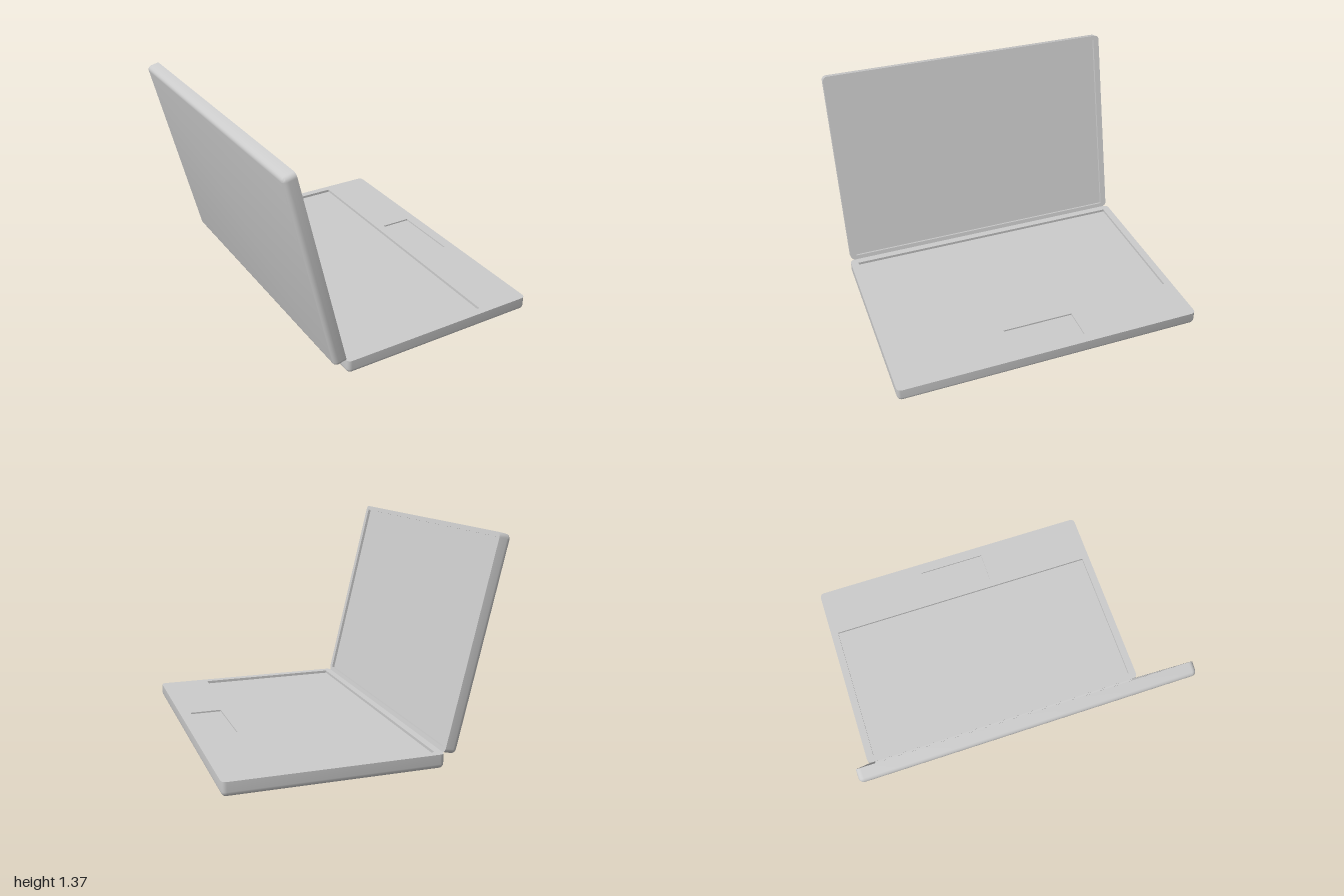
import * as THREE from 'three';
import { toCreasedNormals } from 'three/addons/utils/BufferGeometryUtils.js';

const material = new THREE.MeshStandardMaterial({ color: 0xcccccc });

// Rounded rectangle outline as [x, z] points
function outline(w, d, r, cx = 0, segs = 5) {
  const pts = [];
  [[1, 1], [-1, 1], [-1, -1], [1, -1]].forEach(([sx, sz], q) => {
    const n = r ? segs : 0;
    for (let i = 0; i <= n; i++) {
      const a = (q + (n ? i / n : 0)) * Math.PI / 2;
      pts.push([cx + sx * (w / 2 - r) + r * Math.cos(a), sz * (d / 2 - r) + r * Math.sin(a)]);
    }
  });
  return pts;
}

// Joins outlines from top to bottom and closes the last one; inward makes a sunken pan
function loft(levels, cx, inward = false) {
  const n = levels[0].ring.length, pos = [], idx = [];
  levels.forEach(({ ring, y }) => ring.forEach(([x, z]) => pos.push(x, y, z)));
  pos.push(cx, levels.at(-1).y, 0);
  const tri = (a, b, c) => (inward ? idx.push(a, c, b) : idx.push(a, b, c));
  for (let j = 0; j < n; j++) {
    const k = (j + 1) % n;
    for (let i = 0; i < levels.length - 1; i++) {
      const a = i * n, b = a + n;
      tri(a + j, a + k, b + j);
      tri(a + k, b + k, b + j);
    }
    const l = (levels.length - 1) * n;
    tri(l + j, l + k, levels.length * n);
  }
  const g = new THREE.BufferGeometry();
  g.setAttribute('position', new THREE.Float32BufferAttribute(pos, 3));
  g.setIndex(idx);
  return toCreasedNormals(g, 0.6);
}

// Slab with its face at y = 0, soft lower edges and shallow recesses in the face
function slab(name, w, d, h, r, recesses) {
  const group = new THREE.Group();
  group.name = name;
  const add = (part, geometry) => {
    const mesh = new THREE.Mesh(geometry, material);
    mesh.name = part;
    group.add(mesh);
  };

  // Outer shell
  const levels = [{ ring: outline(w, d, r), y: 0 }];
  for (let i = 0; i <= 5; i++) {
    const a = i / 5 * Math.PI / 2, inset = r * (1 - Math.cos(a));
    levels.push({
      ring: outline(w - 2 * inset, d - 2 * inset, Math.max(r - inset, 0.001)),
      y: -h + r * (1 - Math.sin(a)),
    });
  }
  add(name + 'Shell', loft(levels, 0));

  // Flat face with openings
  const toPath = (pts) => pts.map(([x, z]) => new THREE.Vector2(x, z));
  const face = new THREE.Shape(toPath(outline(w, d, r)));
  for (const { part, cx, width, depth, sink } of recesses) {
    const ring = outline(width, depth, 0, cx);
    face.holes.push(new THREE.Path(toPath(ring)));
    add(part, loft([{ ring, y: 0 }, { ring, y: -sink }], cx, true));
  }
  add(name + 'Face', new THREE.ShapeGeometry(face).rotateX(-Math.PI / 2));
  return group;
}

export function createModel() {
  const model = new THREE.Group();
  model.name = 'laptop';

  // Base with keyboard well and touchpad
  const base = slab('base', 1.33, 2, 0.09, 0.03, [
    { part: 'keyboardWell', cx: -0.145, width: 0.95, depth: 1.9, sink: 0.018 },
    { part: 'touchpad', cx: 0.492, width: 0.205, depth: 0.47, sink: 0.01 },
  ]);
  base.position.set(0.19, 0.09, 0);

  // Lid leaning back from the hinge edge
  const lid = slab('lid', 1.316, 1.98, 0.08, 0.03, [
    { part: 'screen', cx: 0, width: 1.26, depth: 1.9, sink: 0.018 },
  ]);
  lid.position.set(-0.6275, 0.73, 0);
  lid.rotation.z = -Math.atan2(1.28, 0.305);

  model.add(base, lid);
  return model;
}
